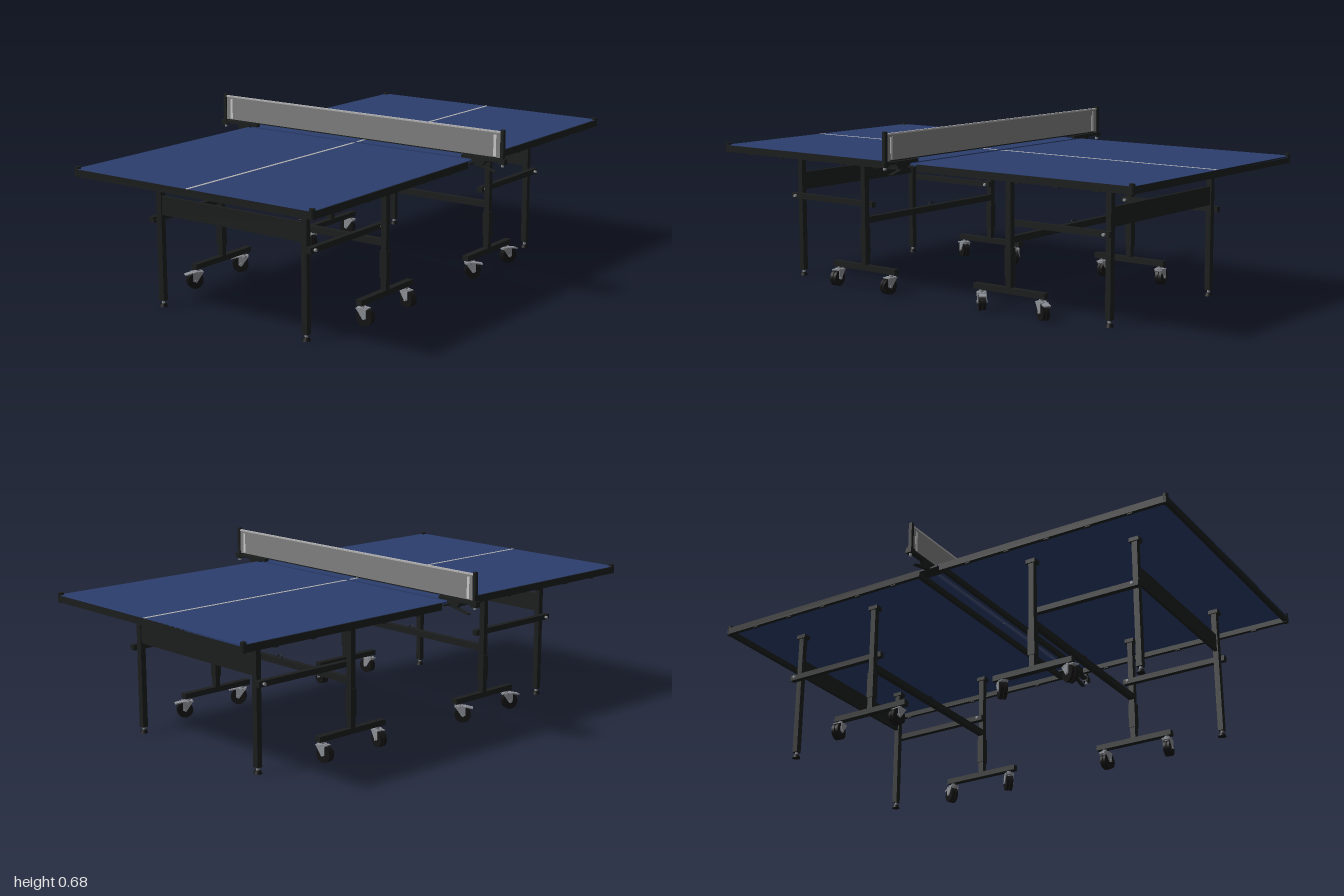
import * as THREE from 'three';

const mat = (color) => new THREE.MeshStandardMaterial({ color });
const black = mat(0x1c1e1e), blue = mat(0x2b3e6e), line = mat(0xb4b4b4), netGrey = mat(0x808080);
const metal = mat(0x8c9096), white = mat(0xe6e6e6), rubber = mat(0x141414);

function add(parent, name, geometry, material, x = 0, y = 0, z = 0) {
  const mesh = new THREE.Mesh(geometry, material);
  mesh.name = name;
  mesh.position.set(x, y, z);
  parent.add(mesh);
  return mesh;
}

// Box given by its min and max along each axis
function span(parent, name, material, [x0, x1], [y0, y1], [z0, z1]) {
  return add(parent, name, new THREE.BoxGeometry(x1 - x0, y1 - y0, z1 - z0), material,
    (x0 + x1) / 2, (y0 + y1) / 2, (z0 + z1) / 2);
}

// Cylinder lying along x or z, or standing along y
function rod(parent, name, material, r, length, axis, x, y, z, sides = 20) {
  const g = new THREE.CylinderGeometry(r, r, length, sides);
  if (axis === 'x') g.rotateZ(Math.PI / 2);
  if (axis === 'z') g.rotateX(Math.PI / 2);
  return add(parent, name, g, material, x, y, z);
}

// Swivel caster: plate, fork, wheel trailing behind the stem, brake pedal
function caster(yaw, brake) {
  const g = new THREE.Group();
  g.name = 'caster';
  rod(g, 'casterStem', metal, 0.009, 0.03, 'y', 0, 0.071, 0);
  rod(g, 'casterSwivel', metal, 0.019, 0.009, 'y', 0, 0.064, 0);
  const cheek = new THREE.Shape();
  cheek.moveTo(-0.018, 0.066);
  cheek.lineTo(0.024, 0.066);
  cheek.lineTo(0.024, 0.030);
  cheek.lineTo(0.010, 0.026);
  cheek.closePath();
  for (const s of [-1, 1]) {
    const geo = new THREE.ExtrudeGeometry(cheek, { depth: 0.003, bevelEnabled: false });
    add(g, 'casterFork', geo, metal, 0, 0, s * 0.016 - 0.0015);
    rod(g, 'casterWheel', rubber, 0.032, 0.012, 'z', 0.014, 0.032, s * 0.0075, 28);
  }
  rod(g, 'casterAxle', metal, 0.006, 0.04, 'z', 0.014, 0.032, 0);
  span(g, 'casterHood', metal, [-0.018, 0.026], [0.063, 0.067], [-0.0175, 0.0175]);
  if (brake) {
    const pedal = span(g, 'brakePedal', metal, [0.02, 0.054], [0.059, 0.064], [-0.013, 0.013]);
    pedal.rotation.z = -0.2;
  }
  g.rotation.y = yaw;
  return g;
}

// One half of the table, built on +x
function tableHalf() {
  const half = new THREE.Group();
  half.name = 'tableHalf';

  // Playing surface and centre line
  span(half, 'tabletop', blue, [0.01, 0.998], [0.541, 0.548], [-0.548, 0.548]);
  span(half, 'centreLine', line, [0.01, 0.998], [0.547, 0.5488], [-0.006, 0.006]);

  // Frame under the edge
  for (const s of [-1, 1]) {
    const z = s * 0.544;
    span(half, 'sideRail', black, [0.045, 0.995], [0.52, 0.547], [z - 0.008, z + 0.008]);
    // Rounded corner guard
    rod(half, 'cornerGuard', black, 0.011, 0.038, 'y', 0.989, 0.537, s * 0.542);
    // Small clips below the rail
    for (let i = 0; i < 5; i++)
      span(half, 'railClip', black, [0.16 + i * 0.17, 0.18 + i * 0.17], [0.516, 0.521], [z - 0.005, z + 0.005]);
  }
  span(half, 'endRail', black, [0.982, 0.998], [0.52, 0.547], [-0.545, 0.545]);
  span(half, 'innerRail', black, [0.045, 0.06], [0.52, 0.542], [-0.545, 0.545]);

  for (const s of [-1, 1]) {
    // Outer leg with levelling foot
    const zo = s * 0.342, zi = s * 0.398;
    span(half, 'outerLeg', black, [0.757, 0.779], [0.024, 0.541], [zo - 0.012, zo + 0.012]);
    rod(half, 'footScrew', metal, 0.006, 0.016, 'y', 0.768, 0.018, zo);
    add(half, 'footPad', new THREE.CylinderGeometry(0.011, 0.016, 0.013, 20), rubber, 0.768, 0.0065, zo);

    // Inner leg with sleeve, on a wheeled beam
    span(half, 'innerLeg', black, [0.352, 0.374], [0.095, 0.541], [zi - 0.012, zi + 0.012]);
    span(half, 'legSleeve', black, [0.349, 0.377], [0.145, 0.25], [zi - 0.015, zi + 0.015]);
    span(half, 'wheelBeam', black, [0.197, 0.53], [0.078, 0.1], [zi - 0.013, zi + 0.013]);
    for (const [x, yaw] of [[0.228, -0.8], [0.508, -0.5]]) {
      const c = caster(s > 0 ? yaw : yaw + 2.2, s > 0);
      c.position.set(x, 0, zi);
      half.add(c);
    }

    // Folding link between the two legs, with pivot bolts
    const zl = s * 0.37;
    span(half, 'linkBar', black, [0.342, 0.79], [0.328, 0.35], [zl - 0.011, zl + 0.011]);
    for (const x of [0.363, 0.768]) rod(half, 'pivotBolt', metal, 0.006, 0.04, 'z', x, 0.339, zl);
    // Leg hinges under the top
    for (const [x, z] of [[0.768, zo], [0.363, zi]])
      span(half, 'legHinge', black, [x - 0.02, x + 0.02], [0.525, 0.541], [z - 0.017, z + 0.017]);
  }

  // Braces across the leg pairs and the latch loop
  span(half, 'apron', black, [0.762, 0.774], [0.36, 0.432], [-0.335, 0.335]);
  span(half, 'crossBar', black, [0.352, 0.374], [0.267, 0.292], [-0.39, 0.39]);
  const loop = add(half, 'latchLoop', new THREE.TorusGeometry(0.014, 0.0025, 8, 24), black, 0.363, 0.292, 0);
  loop.rotation.y = Math.PI / 2;
  return half;
}

// Net post, clamp and lever, built on +z
function netPost() {
  const post = new THREE.Group();
  post.name = 'netPost';
  span(post, 'post', black, [-0.007, 0.007], [0.545, 0.676], [0.668, 0.682]);
  span(post, 'postFoot', black, [-0.012, 0.012], [0.545, 0.566], [0.664, 0.69]);
  span(post, 'clampArm', black, [-0.01, 0.01], [0.552, 0.563], [0.5, 0.69]);
  rod(post, 'tensionScrew', metal, 0.006, 0.02, 'y', 0, 0.545, 0.676);

  // Tapered lever under the arm, profile in z and y
  const shape = new THREE.Shape();
  shape.moveTo(0.54, 0.556);
  shape.lineTo(0.61, 0.556);
  shape.lineTo(0.592, 0.53);
  shape.lineTo(0.648, 0.515);
  shape.lineTo(0.646, 0.511);
  shape.lineTo(0.55, 0.532);
  shape.closePath();
  const geo = new THREE.ExtrudeGeometry(shape, { depth: 0.016, bevelEnabled: false });
  geo.rotateY(-Math.PI / 2);
  add(post, 'clampLever', geo, black, 0.008, 0, 0);
  span(post, 'clampPlate', black, [-0.04, 0.04], [0.535, 0.5405], [0.5, 0.557]);
  return post;
}

export function createModel() {
  const model = new THREE.Group();
  model.name = 'tableTennisTable';

  // Two halves, turned about the net
  const left = tableHalf();
  const right = tableHalf();
  right.rotation.y = Math.PI;
  model.add(left, right);

  // Net with tape, cord and end strips
  const net = new THREE.Group();
  net.name = 'netAssembly';
  span(net, 'net', netGrey, [-0.002, 0.002], [0.568, 0.666], [-0.67, 0.67]);
  span(net, 'netTape', line, [-0.005, 0.005], [0.663, 0.669], [-0.67, 0.67]);
  span(net, 'netCord', black, [-0.003, 0.003], [0.565, 0.569], [-0.65, 0.65]);
  for (const s of [-1, 1]) {
    span(net, 'netEndStrip', white, [-0.003, 0.003], [0.572, 0.655], [s * 0.642 - 0.006, s * 0.642 + 0.006]);
    const post = netPost();
    if (s < 0) post.rotation.y = Math.PI;
    net.add(post);
  }
  model.add(net);
  return model;
}
